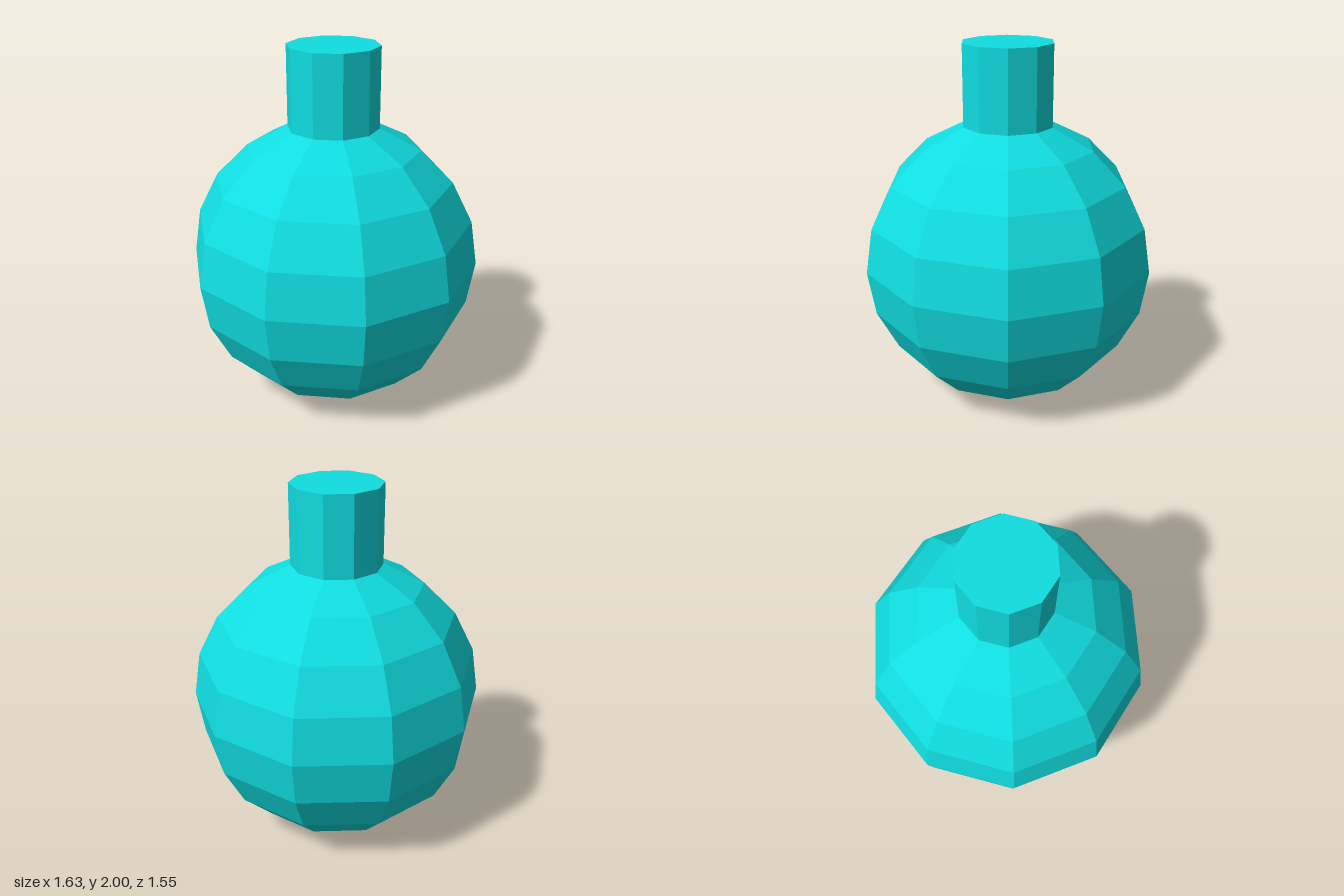
import * as THREE from 'three';

const SIDES = 10;
const RADIUS = 0.817;
const BAND = Math.PI / 10; // latitude step of the body rings

export function createModel() {
  const model = new THREE.Group();
  model.name = 'roundFlask';
  const material = new THREE.MeshStandardMaterial({ color: 0x10dde0, flatShading: true });

  // Body: faceted sphere cut flat at the bottom and at the shoulder
  const cutHeight = RADIUS * Math.sin(4 * BAND);
  const neckRadius = RADIUS * Math.cos(4 * BAND);
  const profile = [new THREE.Vector2(0, 0)];
  for (let i = -4; i <= 4; i++) {
    profile.push(new THREE.Vector2(RADIUS * Math.cos(i * BAND), cutHeight + RADIUS * Math.sin(i * BAND)));
  }
  const body = new THREE.Mesh(new THREE.LatheGeometry(profile, SIDES, Math.PI / 2), material);
  body.name = 'body';
  model.add(body);

  // Neck: straight ten-sided column, closed on top, rising from the shoulder ring
  const shoulder = 2 * cutHeight;
  const neckHeight = 2 - shoulder;
  const tube = new THREE.CylinderGeometry(neckRadius, neckRadius, neckHeight, SIDES, 1, true, Math.PI / 2);
  const neck = new THREE.Mesh(tube, material);
  neck.name = 'neck';
  neck.position.y = shoulder + neckHeight / 2;
  model.add(neck);

  const top = new THREE.Mesh(new THREE.CircleGeometry(neckRadius, SIDES), material);
  top.name = 'neckTop';
  top.rotation.x = -Math.PI / 2;
  top.position.y = 2;
  model.add(top);

  return model;
}
